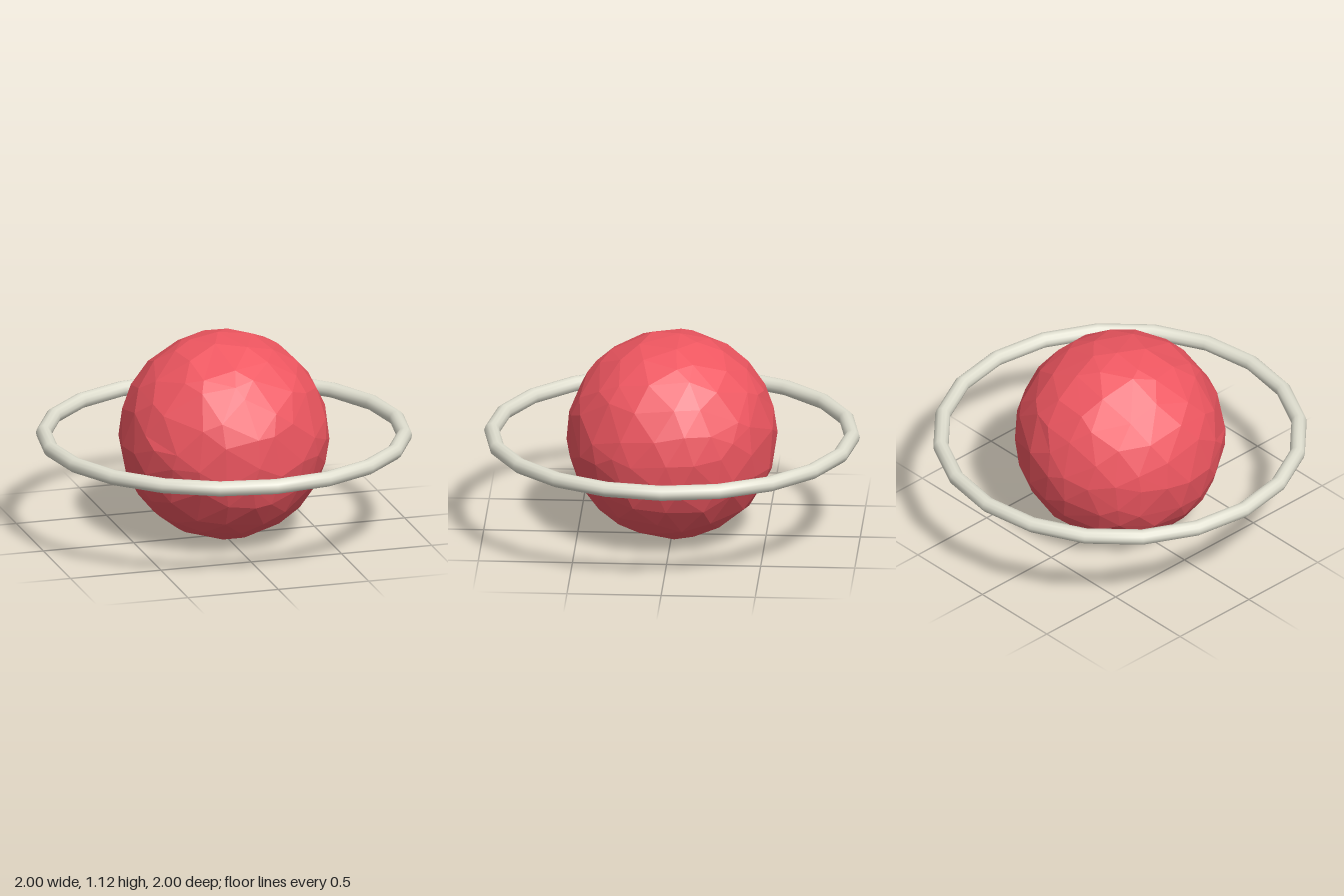
import * as THREE from 'three';
import { mergeVertices } from 'three/addons/utils/BufferGeometryUtils.js';

const RADIUS = 0.56;

// Faceted ball: a subdivided icosahedron whose points slide along the sphere
function facetedBall(radius) {
  const base = new THREE.IcosahedronGeometry(1, 3);
  base.deleteAttribute('normal');
  base.deleteAttribute('uv');
  const geometry = mergeVertices(base, 1e-4);
  const pos = geometry.attributes.position;
  let seed = 17;
  const jitter = () => {
    seed = (seed * 16807) % 2147483647;
    return (seed / 2147483647 - 0.5) * 0.16;
  };
  const v = new THREE.Vector3();
  for (let i = 0; i < pos.count; i++) {
    v.fromBufferAttribute(pos, i);
    v.set(v.x + jitter(), v.y + jitter(), v.z + jitter()).setLength(radius);
    pos.setXYZ(i, v.x, v.y, v.z);
  }
  const flat = geometry.toNonIndexed();
  flat.computeVertexNormals();
  return flat;
}

export function createModel() {
  const model = new THREE.Group();
  model.name = 'ringedPlanet';

  // Planet
  const planet = new THREE.Mesh(
    facetedBall(RADIUS),
    new THREE.MeshStandardMaterial({ color: 0xee5660, flatShading: true })
  );
  planet.name = 'planet';
  planet.position.y = RADIUS;
  model.add(planet);

  // Level ring around the equator
  const ring = new THREE.Mesh(
    new THREE.TorusGeometry(0.957, 0.041, 12, 20),
    new THREE.MeshStandardMaterial({ color: 0xe0dfd0 })
  );
  ring.name = 'ring';
  ring.rotation.x = Math.PI / 2;
  ring.position.y = RADIUS;
  model.add(ring);

  return model;
}
